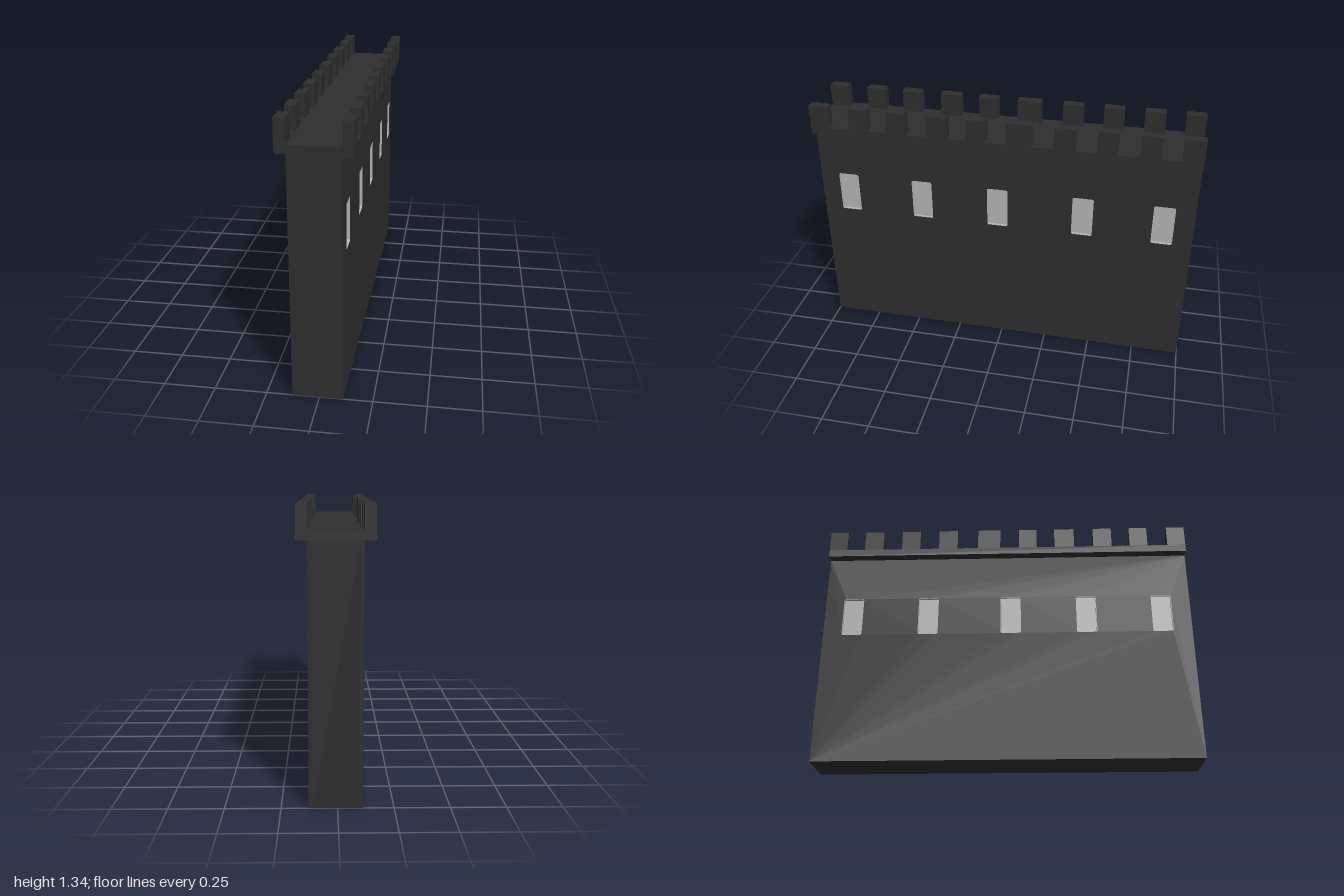
import * as THREE from 'three';

const stone = new THREE.MeshStandardMaterial({ name: 'dark stone', color: 0x2e2e2e });
const glass = new THREE.MeshStandardMaterial({ name: 'pale glass', color: 0xb6b6b6 });

const LENGTH = 2, WALL_W = 0.24, WALL_H = 1.18, DECK_W = 0.34, DECK_TOP = 1.22, TOP = 1.335;
const RECESS = 0.015;
const WINDOW = { w: 0.11, y0: 0.71, y1: 0.93, r: 0.01 };
const windowZ = [0.845, 0.435, 0.022, -0.43, -0.845];
// start and end of each merlon along the wall
const merlons = [
  [-1, -0.9], [-0.8, -0.695], [-0.59, -0.487], [-0.38, -0.275], [-0.16, -0.035],
  [0.07, 0.17], [0.27, 0.38], [0.487, 0.59], [0.69, 0.79], [0.9, 1],
];

function box(name, w, h, d, x, y, z) {
  const mesh = new THREE.Mesh(new THREE.BoxGeometry(w, h, d), stone);
  mesh.name = name;
  mesh.position.set(x, y, z);
  return mesh;
}

// rounded window outline centred on u, shrunk by inset
function windowOutline(u, inset, Kind) {
  const r = WINDOW.r - inset;
  const x0 = u - WINDOW.w / 2 + inset, x1 = u + WINDOW.w / 2 - inset;
  const y0 = WINDOW.y0 + inset, y1 = WINDOW.y1 - inset;
  const p = new Kind();
  p.moveTo(x0 + r, y0);
  p.lineTo(x1 - r, y0).quadraticCurveTo(x1, y0, x1, y0 + r);
  p.lineTo(x1, y1 - r).quadraticCurveTo(x1, y1, x1 - r, y1);
  p.lineTo(x0 + r, y1).quadraticCurveTo(x0, y1, x0, y1 - r);
  p.lineTo(x0, y0 + r).quadraticCurveTo(x0, y0, x0 + r, y0);
  return p;
}

function plate(name, shape, depth, material) {
  const geometry = new THREE.ExtrudeGeometry(shape, { depth, bevelEnabled: false, curveSegments: 3 });
  const mesh = new THREE.Mesh(geometry, material);
  mesh.name = name;
  return mesh;
}

// one long face with recessed windows, built facing +z then turned outwards
function wallFace(s) {
  const face = new THREE.Group();
  face.name = s > 0 ? 'leftFace' : 'rightFace';
  const outline = new THREE.Shape([
    new THREE.Vector2(-LENGTH / 2, 0), new THREE.Vector2(LENGTH / 2, 0),
    new THREE.Vector2(LENGTH / 2, WALL_H), new THREE.Vector2(-LENGTH / 2, WALL_H),
  ]);
  for (const z of windowZ) {
    const u = -s * z;
    outline.holes.push(windowOutline(u, 0, THREE.Path));
    const lining = windowOutline(u, 0, THREE.Shape);
    lining.holes.push(windowOutline(u, 0.003, THREE.Path));
    face.add(plate('windowLining', lining, RECESS, glass));
    face.add(plate('windowPane', windowOutline(u, 0.002, THREE.Shape), 0.002, glass));
  }
  face.add(plate('wallSkin', outline, RECESS, stone));
  face.rotation.y = s * Math.PI / 2;
  face.position.x = s * (WALL_W / 2 - RECESS);
  return face;
}

export function createModel() {
  const model = new THREE.Group();
  model.name = 'castleWall';

  // wall body and overhanging walkway
  model.add(box('wallCore', WALL_W - 2 * RECESS, WALL_H, LENGTH, 0, WALL_H / 2, 0));
  model.add(box('walkway', DECK_W, DECK_TOP - WALL_H, LENGTH, 0, (DECK_TOP + WALL_H) / 2, 0));

  // window faces and battlements on both sides
  const thick = 0.05;
  for (const s of [1, -1]) {
    model.add(wallFace(s));
    for (const [a, b] of merlons) {
      model.add(box('merlon', thick, TOP - DECK_TOP, b - a,
        s * (DECK_W - thick) / 2, (TOP + DECK_TOP) / 2, (a + b) / 2));
    }
  }

  // the wall stands very slightly askew
  model.rotation.y = -0.0075;
  const root = new THREE.Group();
  root.name = 'wallSection';
  root.add(model);
  return root;
}
